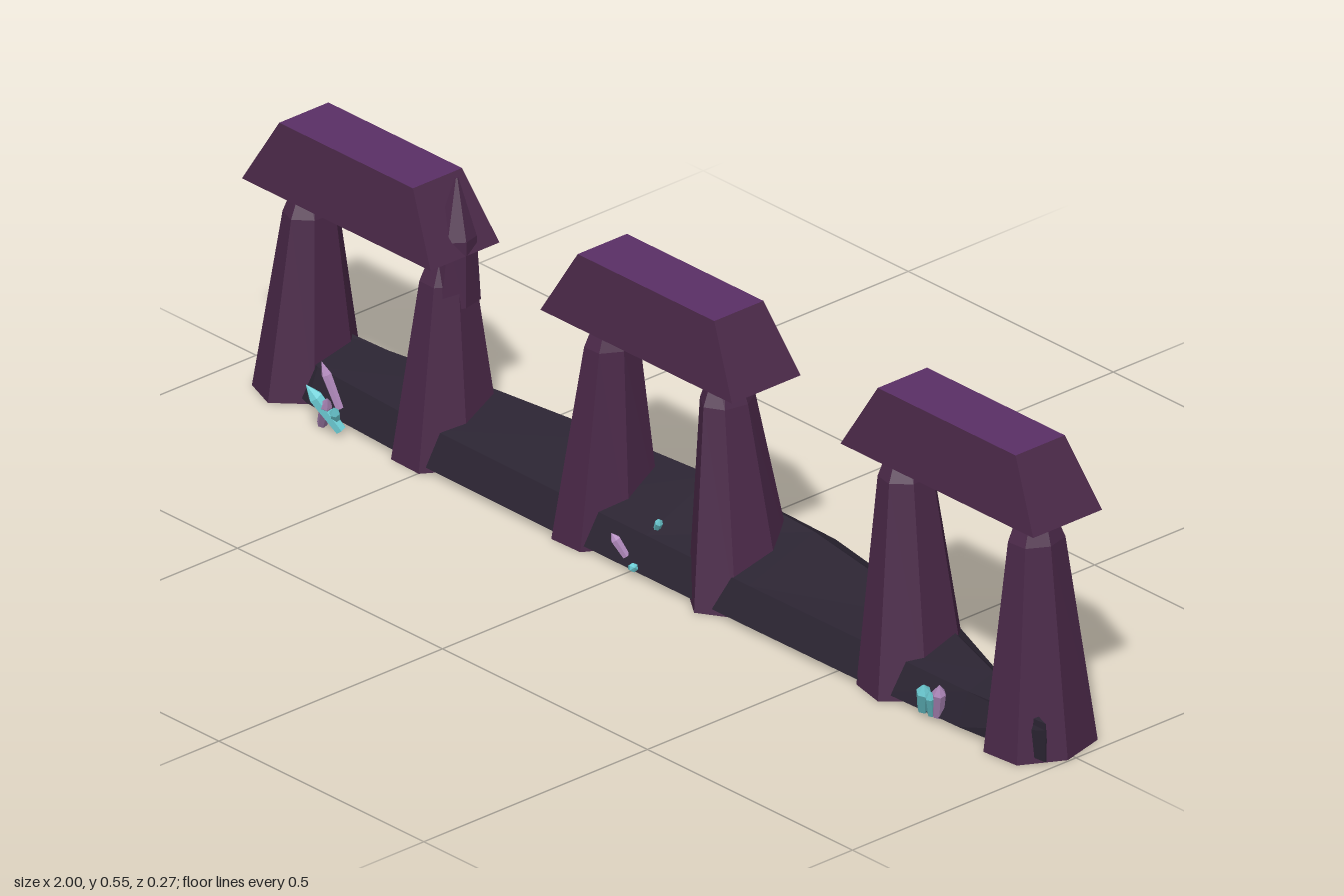
import * as THREE from 'three';

const mat = (name, color) => {
  const m = new THREE.MeshStandardMaterial({ color });
  m.name = name;
  return m;
};

// Skin rings of points into a faceted closed solid; the last cap is material group 1
function loft(rings) {
  const pos = [], n = rings[0].length;
  const tri = (...p) => p.forEach(v => pos.push(...v));
  for (let i = 1; i < n - 1; i++) tri(rings[0][0], rings[0][i], rings[0][i + 1]);
  for (let r = 0; r < rings.length - 1; r++) {
    for (let i = 0; i < n; i++) {
      const j = (i + 1) % n, lo = rings[r], hi = rings[r + 1];
      tri(lo[i], hi[i], hi[j]);
      tri(lo[i], hi[j], lo[j]);
    }
  }
  const split = pos.length / 3, end = rings[rings.length - 1];
  for (let i = 1; i < n - 1; i++) tri(end[0], end[i + 1], end[i]);
  const g = new THREE.BufferGeometry();
  g.setAttribute('position', new THREE.Float32BufferAttribute(pos, 3));
  g.addGroup(0, split, 0);
  g.addGroup(split, pos.length / 3 - split, 1);
  g.computeVertexNormals();
  return g;
}

export function createModel() {
  const model = new THREE.Group();
  const stone = mat('purple stone', 0x4a2848);
  const topStone = mat('violet lintel top', 0x5a2f66);
  const rock = mat('dark rock', 0x2b2432);
  const teal = mat('teal crystal', 0x6fd2da);
  const pink = mat('lilac crystal', 0xb48cc0);

  const add = (parent, name, geo, material) => {
    const m = new THREE.Mesh(geo, material);
    m.name = name;
    parent.add(m);
    return m;
  };

  // Irregular seven-sided ring
  const ring = (cx, cz, y, rx, rz, turn) => Array.from({ length: 7 }, (_, i) => {
    const a = turn + i / 7 * Math.PI * 2;
    return [cx + rx * Math.cos(a), y, cz + rz * Math.sin(a)];
  });

  // Tapered standing stone with a narrowed head
  const pillar = (parent, x0, x1, top, rx, turn) => {
    const shoulder = top - 0.055, xs = x0 + (x1 - x0) * 0.9;
    add(parent, 'pillar', loft([
      ring(x0, 0, 0, rx, 0.105, turn),
      ring(xs, 0, shoulder, rx * 0.52, 0.052, turn),
      ring(x1, 0, top + 0.01, rx * 0.27, 0.022, turn),
    ]), [stone, stone]);
  };

  // Lintel: truncated block with a violet top
  const lintel = (parent, x0, x1, y0) => {
    const rect = (a, b, z0, z1, y) => [[a, y, z0], [b, y, z0], [b, y, z1], [a, y, z1]];
    add(parent, 'lintel', loft([
      rect(x0, x1, -0.072, 0.082, y0),
      rect(x0 + 0.067, x1 - 0.067, -0.05, 0.06, y0 + 0.12),
    ]), [stone, topStone]);
  };

  // Three gateways: lintel span, lintel height, two pillars [base x, top x, radius, turn]
  const gates = [
    [-0.945, -0.485, 0.375, [-0.872, -0.865, 0.079, 0.5], [-0.532, -0.532, 0.081, 0.25]],
    [-0.217, 0.25, 0.403, [-0.143, -0.13, 0.079, 0.2], [0.185, 0.145, 0.078, 0.7]],
    [0.515, 0.985, 0.428, [0.605, 0.585, 0.082, 0.4], [0.912, 0.902, 0.086, 0.15]],
  ];
  gates.forEach(([x0, x1, y, ...pillars]) => {
    const gate = new THREE.Group();
    gate.name = 'gateway';
    lintel(gate, x0, x1, y);
    pillars.forEach(([b, t, r, turn]) => pillar(gate, b, t, y, r, turn));
    model.add(gate);
  });

  // Shard piercing the first lintel's sloping end
  add(model, 'pillarShard', loft([
    ring(-0.525, -0.005, 0.28, 0.043, 0.05, 0.2),
    ring(-0.519, -0.005, 0.4, 0.035, 0.036, 0.2),
    ring(-0.522, -0.01, 0.503, 0.003, 0.003, 0.2),
  ]), [stone, stone]);

  // Long faceted rock base: x, front z, ridge z, ridge y, back z
  const sections = [
    [-0.95, 0.02, -0.03, 0.078, -0.045],
    [-0.8, 0.07, -0.045, 0.088, -0.065],
    [-0.5, 0.085, -0.06, 0.108, -0.085],
    [-0.18, 0.088, -0.08, 0.12, -0.11],
    [0.02, 0.088, -0.085, 0.128, -0.12],
    [0.27, 0.088, -0.085, 0.117, -0.132],
    [0.62, 0.085, -0.05, 0.095, -0.092],
    [0.8, 0.08, 0.0, 0.085, -0.03],
    [0.992, 0.062, 0.06, 0.08, 0.058],
  ];
  add(model, 'rockBase', loft(sections.map(([x, f, r, y, b]) => {
    const inset = Math.min(0.025, (f - b) * 0.2);
    return [[x, 0.01, f], [x, 0.068, f - inset], [x, y, r], [x, y - 0.03, b], [x, 0.01, b + inset]];
  })), [rock, rock]);

  // Sharp splinter at the left end of the base
  add(model, 'rockSplinter', loft([
    [[-1, 0.083, -0.06], [-0.998, 0.085, -0.06], [-0.998, 0.083, -0.061]],
    [[-0.86, 0.05, 0.0], [-0.86, 0.088, -0.05], [-0.86, 0.035, -0.095]],
    [[-0.6, 0.03, 0.0], [-0.6, 0.095, -0.05], [-0.6, 0.02, -0.09]],
  ]), [rock, rock]);

  // Six-sided crystal prism with a pointed tip
  const crystal = (parent, base, tip, r, material) => {
    const a = new THREE.Vector3(...base), d = new THREE.Vector3(...tip).sub(a), len = d.length();
    const pts = [[0, 0], [r * 0.8, 0], [r, len * 0.72], [0, len]].map(p => new THREE.Vector2(...p));
    const g = new THREE.LatheGeometry(pts, 6).toNonIndexed();
    g.computeVertexNormals();
    const m = add(parent, 'crystal', g, material);
    m.position.copy(a);
    m.quaternion.setFromUnitVectors(new THREE.Vector3(0, 1, 0), d.normalize());
  };
  const clusters = [
    [[[-0.69, 0.01, 0.095], [-0.735, 0.09, 0.132], 0.013, teal],
      [[-0.735, 0.005, 0.095], [-0.695, 0.075, 0.12], 0.011, pink],
      [[-0.72, 0.03, 0.07], [-0.748, 0.112, 0.085], 0.009, pink],
      [[-0.705, 0.008, 0.09], [-0.685, 0.06, 0.115], 0.009, teal]],
    [[[-0.01, 0.025, 0.08], [-0.03, 0.065, 0.095], 0.009, pink],
      [[0.005, 0.01, 0.082], [0.03, 0.024, 0.098], 0.008, teal],
      [[0.02, 0.07, 0.04], [0.04, 0.1, 0.05], 0.007, teal]],
    [[[0.715, 0.012, 0.08], [0.738, 0.072, 0.1], 0.013, teal],
      [[0.745, 0.01, 0.075], [0.765, 0.078, 0.09], 0.012, pink],
      [[0.735, 0.01, 0.08], [0.752, 0.066, 0.1], 0.009, teal]],
  ];
  clusters.forEach(list => {
    const cluster = new THREE.Group();
    cluster.name = 'crystalCluster';
    list.forEach(c => crystal(cluster, ...c));
    model.add(cluster);
  });

  return model;
}
